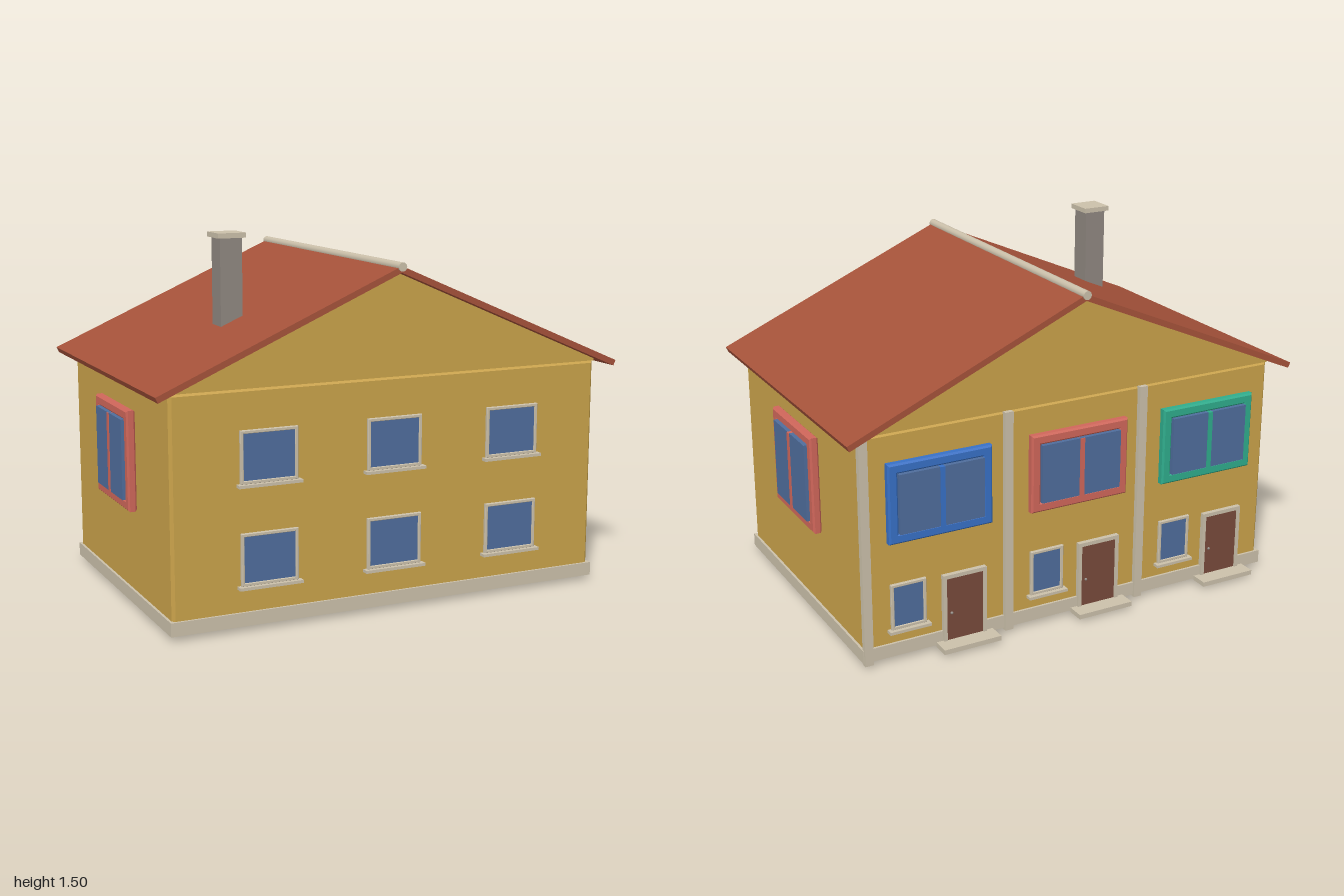
import * as THREE from 'three';

const mat = (name, color, extra = {}) => Object.assign(new THREE.MeshStandardMaterial({ color, ...extra }), { name });

export function createModel() {
  const house = new THREE.Group();
  house.name = 'house';
  const M = {
    wall: mat('ochre wall', 0xc9a24a),
    roof: mat('roof red', 0xa5523a),
    trim: mat('stone trim', 0xcbc0aa),
    glass: mat('window glass', 0x4f6d9c),
    red: mat('coral frame', 0xcf665a),
    blue: mat('blue frame', 0x3770c6),
    green: mat('green frame', 0x2fac8c),
    door: mat('door brown', 0x784a3b),
    grey: mat('chimney grey', 0x8f8780),
  };

  const add = (parent, name, geo, material, x = 0, y = 0, z = 0) => {
    const mesh = new THREE.Mesh(geo, material);
    mesh.name = name;
    mesh.position.set(x, y, z);
    parent.add(mesh);
    return mesh;
  };
  // Box given by its extents on each axis
  const box = (parent, name, material, [x0, x1], [y0, y1], [z0, z1]) =>
    add(parent, name, new THREE.BoxGeometry(x1 - x0, y1 - y0, z1 - z0), material,
      (x0 + x1) / 2, (y0 + y1) / 2, (z0 + z1) / 2);
  const rect = (Type, w, h) => new Type([[-1, -1], [1, -1], [1, 1], [-1, 1]]
    .map(([x, y]) => new THREE.Vector2(x * w / 2, y * h / 2)));
  // Box with chamfered edges, centred in x and y, from z = 0 to d; optional opening
  const chamferBox = (w, h, d, c, hole) => {
    const s = rect(THREE.Shape, w - 2 * c, h - 2 * c);
    if (hole) s.holes.push(rect(THREE.Path, hole[0] + 2 * c, hole[1] + 2 * c));
    return new THREE.ExtrudeGeometry(s, {
      depth: d - 2 * c, bevelEnabled: true, bevelSegments: 1, bevelSize: c, bevelThickness: c,
    }).translate(0, 0, c);
  };
  const prism = (points, z0, z1) => new THREE.ExtrudeGeometry(
    new THREE.Shape(points.map((p) => new THREE.Vector2(...p))),
    { depth: z1 - z0, bevelEnabled: false }).translate(0, 0, z0);
  const group = (parent, name, x = 0, y = 0, z = 0, turn = 0) => {
    const g = new THREE.Group();
    g.name = name;
    g.position.set(x, y, z);
    g.rotation.y = turn;
    parent.add(g);
    return g;
  };

  // Plinth, walls and gable
  const FRONT = 0.605, BACK = -0.59, SIDE = 0.93;
  box(house, 'plinth', M.trim, [-0.94, 0.94], [0.02, 0.075], [-0.6, 0.615]);
  add(house, 'walls', chamferBox(2 * SIDE, 0.905, FRONT - BACK, 0.012), M.wall, 0, 0.4925, BACK);
  add(house, 'gable', prism([[-SIDE, 0.943], [SIDE, 0.943], [SIDE, 0.954], [0, 1.356], [-SIDE, 0.954]],
    BACK, FRONT), M.wall);

  // Roof slopes and ridge cap
  const slope = [[0, 1.354], [0.99, 0.926], [1, 0.948], [0, 1.38]];
  add(house, 'roofLeft', prism(slope, -0.657, 0.663), M.roof);
  add(house, 'roofRight', prism(slope.map(([x, y]) => [-x, y]), -0.657, 0.663), M.roof);
  add(house, 'ridgeCap', new THREE.CylinderGeometry(0.018, 0.018, 1.334, 12).rotateX(Math.PI / 2),
    M.trim, 0, 1.377, 0.003);

  // Chimney
  box(house, 'chimney', M.grey, [-0.583, -0.491], [1.08, 1.476], [0.158, 0.25]);
  box(house, 'chimneyCap', M.trim, [-0.596, -0.478], [1.475, 1.495], [0.145, 0.263]);

  // Small window with a thin surround and a sill, facing local +z
  const smallWindow = (parent, x, y, w, h) => {
    const g = group(parent, 'smallWindow', x, y);
    add(g, 'windowFrame', chamferBox(w, h, 0.014, 0.002, [w - 0.026, h - 0.026]), M.trim);
    box(g, 'windowGlass', M.glass, [-w / 2 + 0.012, w / 2 - 0.012], [-h / 2 + 0.012, h / 2 - 0.012], [-0.002, 0.009]);
    box(g, 'windowSill', M.trim, [-w / 2 - 0.013, w / 2 + 0.013], [-h / 2 - 0.011, -h / 2 + 0.001], [0, 0.03]);
  };

  // Large bay window with a coloured chamfered frame, facing local +z
  const bayWindow = (parent, x, y, w, h, material, depth) => {
    const g = group(parent, 'bayWindow', x, y);
    const pw = w - 0.082, ph = h - 0.082;
    add(g, 'bayFrame', chamferBox(w, h, depth, 0.007, [pw, ph]), material);
    box(g, 'bayGlass', M.glass, [-pw / 2, pw / 2], [-ph / 2, ph / 2], [0, depth + 0.011]);
    box(g, 'bayMullion', material, [-0.01, 0.01], [-ph / 2, ph / 2], [0, depth + 0.015]);
  };

  // Front: two rows of three windows
  const front = group(house, 'frontWindows', 0, 0, FRONT);
  for (const y of [0.283, 0.683])
    for (const x of [-0.535, 0, 0.535]) smallWindow(front, x, y, 0.238, 0.208);

  // Gable-free sides: one bay window each
  for (const s of [1, -1]) {
    const side = group(house, s > 0 ? 'leftSide' : 'rightSide', s * SIDE, 0, 0.005, s * Math.PI / 2);
    bayWindow(side, 0, 0.613, 0.41, 0.406, M.red, 0.036);
  }

  // Back: three dwellings, each with pilaster, bay, small window, door and step
  [M.blue, M.red, M.green].forEach((material, i) => {
    const unit = group(house, 'dwelling', 0.613 * (1 - i), 0, BACK, Math.PI);
    box(unit, 'pilaster', M.trim, i ? [-0.325, -0.289] : [-0.323, -0.287], [0.01, 0.944], [-0.005, 0.02]);
    bayWindow(unit, 0.005, 0.667, 0.44, 0.326, material, 0.036);
    smallWindow(unit, -0.13, 0.23, 0.15, 0.192);
    add(unit, 'doorFrame', prism([[0.015, 0], [0.03, 0], [0.03, 0.3], [0.19, 0.3], [0.19, 0], [0.205, 0],
      [0.205, 0.316], [0.015, 0.316]], -0.005, 0.02), M.trim);
    box(unit, 'door', M.door, [0.03, 0.19], [0.02, 0.3], [-0.005, 0.014]);
    box(unit, 'threshold', M.trim, [0.015, 0.205], [0, 0.022], [-0.005, 0.016]);
    add(unit, 'doorKnob', new THREE.SphereGeometry(0.006, 10, 8), M.grey, 0.05, 0.15, 0.019);
    box(unit, 'doorStep', M.trim, [-0.015, 0.235], [0.012, 0.032], [0.01, 0.084]);
  });

  return house;
}
